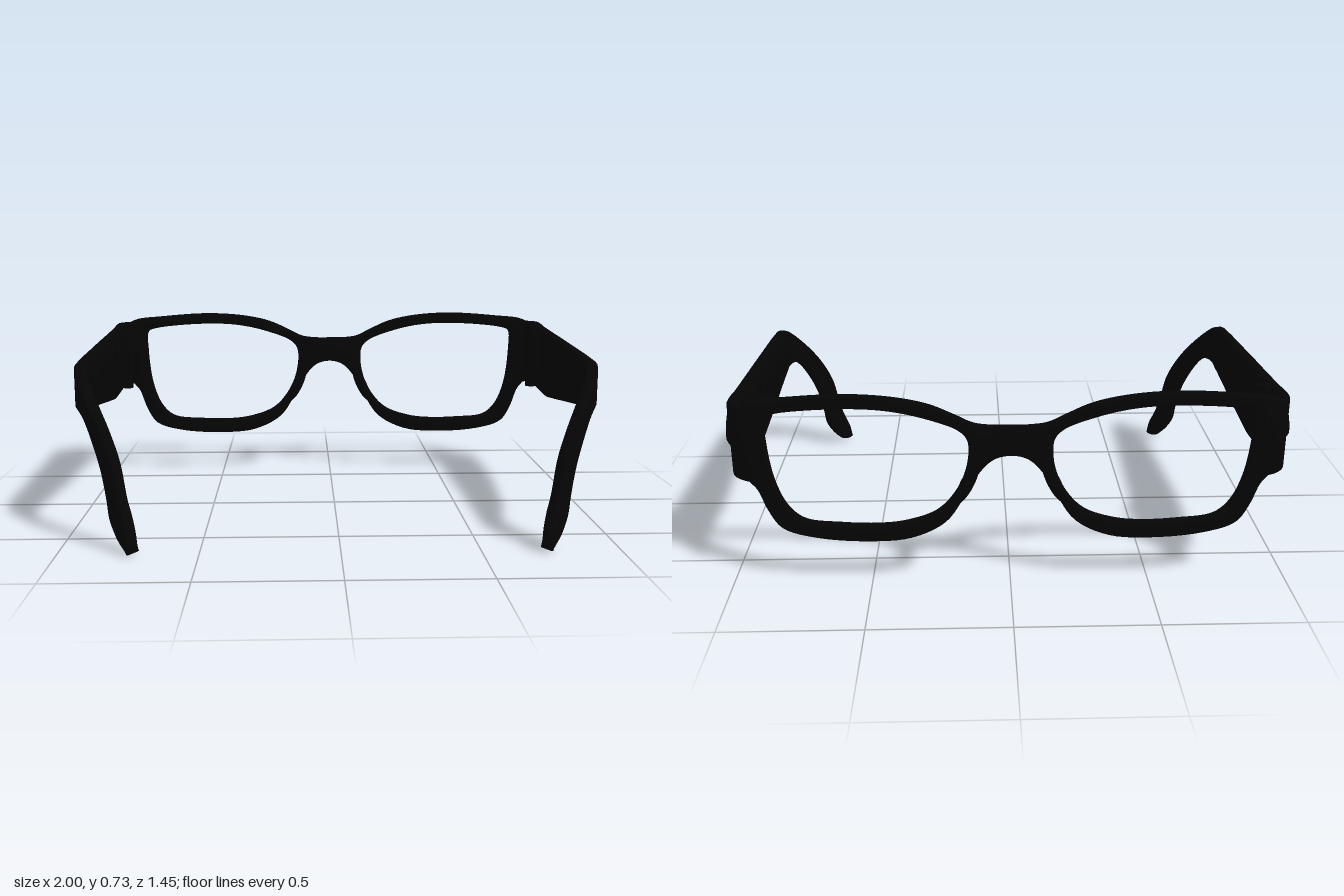
import * as THREE from 'three';
import { toCreasedNormals } from 'three/addons/utils/BufferGeometryUtils.js';
import { RoundedBoxGeometry } from 'three/addons/geometries/RoundedBoxGeometry.js';

const material = new THREE.MeshStandardMaterial({ color: 0x050505 });

function addMesh(parent, name, geometry) {
  const mesh = new THREE.Mesh(geometry, material);
  mesh.name = name;
  parent.add(mesh);
}

// Mirrored copy across x = 0 with the winding restored
function mirrored(geometry) {
  const g = geometry.index ? geometry.toNonIndexed() : geometry.clone();
  g.scale(-1, 1, 1);
  for (const key of ['position', 'normal']) {
    const a = g.attributes[key];
    for (let i = 0; i < a.count; i += 3) {
      const v = [a.getX(i + 1), a.getY(i + 1), a.getZ(i + 1)];
      a.setXYZ(i + 1, a.getX(i + 2), a.getY(i + 2), a.getZ(i + 2));
      a.setXYZ(i + 2, ...v);
    }
  }
  return g;
}

function smoothLoop(points, n) {
  const curve = new THREE.CatmullRomCurve3(points.map(([x, y]) => new THREE.Vector3(x, y, 0)), true);
  return curve.getPoints(n).slice(0, -1).map(p => new THREE.Vector2(p.x, p.y));
}

// Rounded-rectangle loft between a top edge curve and a bottom edge curve
function loftStrip(top, bottom, thickness, steps) {
  const tc = new THREE.CatmullRomCurve3(top), bc = new THREE.CatmullRomCurve3(bottom);
  const mid = t => tc.getPoint(t).add(bc.getPoint(t)).multiplyScalar(0.5);
  const pos = [], index = [], ring = 20;
  for (let i = 0; i <= steps; i++) {
    const t = i / steps, c = mid(t);
    const up = tc.getPoint(t).sub(bc.getPoint(t));
    const h = up.length() / 2, w = thickness / 2, r = Math.min(0.014, h * 0.9);
    up.normalize();
    const dir = mid(Math.min(1, t + 0.004)).sub(mid(Math.max(0, t - 0.004)));
    const side = new THREE.Vector3().crossVectors(up, dir).normalize();
    for (let q = 0; q < 4; q++) {
      const sx = q === 0 || q === 3 ? 1 : -1, sy = q < 2 ? 1 : -1;
      for (let k = 0; k < 5; k++) {
        const a = (q + k / 4) * Math.PI / 2;
        const p = c.clone()
          .addScaledVector(side, sx * (w - r) + r * Math.cos(a))
          .addScaledVector(up, sy * (h - r) + r * Math.sin(a));
        pos.push(p.x, p.y, p.z);
      }
    }
  }
  for (let i = 0; i < steps; i++) for (let j = 0; j < ring; j++) {
    const a = i * ring + j, b = i * ring + (j + 1) % ring;
    index.push(a, b, a + ring, b, b + ring, a + ring);
  }
  // End caps
  const last = steps * ring, n = pos.length / 3;
  const c0 = mid(0), c1 = mid(1);
  pos.push(c0.x, c0.y, c0.z, c1.x, c1.y, c1.z);
  for (let j = 0; j < ring; j++) {
    const k = (j + 1) % ring;
    index.push(n, k, j, n + 1, last + j, last + k);
  }
  const g = new THREE.BufferGeometry();
  g.setAttribute('position', new THREE.Float32BufferAttribute(pos, 3));
  g.setIndex(index);
  return toCreasedNormals(g, 0.7);
}

// Front frame: outline with two lens openings, bowed and tilted
function frontFrame() {
  const half = [
    [0.07, 0.612], [0.13, 0.621], [0.19, 0.65], [0.28, 0.69], [0.4, 0.716], [0.57, 0.727], [0.78, 0.714],
    [0.9, 0.7], [0.93, 0.68], [0.93, 0.55], [0.92, 0.42], [0.885, 0.37], [0.855, 0.29], [0.81, 0.22],
    [0.7, 0.183], [0.5, 0.168], [0.35, 0.183], [0.23, 0.245], [0.165, 0.34], [0.115, 0.43], [0.06, 0.488],
  ];
  // Counterclockwise, so that both openings get the right winding
  const outline = [[0, 0.611], ...half.map(([x, y]) => [-x, y]), [0, 0.503], ...half.slice().reverse()];
  const lens = [
    [0.845, 0.56], [0.842, 0.645], [0.81, 0.66], [0.58, 0.68], [0.42, 0.672], [0.285, 0.641], [0.18, 0.598],
    [0.15, 0.56], [0.153, 0.46], [0.19, 0.365], [0.26, 0.285], [0.37, 0.243], [0.47, 0.231], [0.6, 0.234],
    [0.73, 0.25], [0.785, 0.3], [0.825, 0.4],
  ];
  const shape = new THREE.Shape(smoothLoop(outline, 220));
  for (const s of [1, -1]) {
    shape.holes.push(new THREE.Path(smoothLoop(lens.map(([x, y]) => [s * x, y]), 110)));
  }
  const g = new THREE.ExtrudeGeometry(shape, {
    depth: 0.022, bevelThickness: 0.008, bevelSize: 0.008, bevelOffset: -0.008, bevelSegments: 3,
  });
  const p = g.attributes.position;
  for (let i = 0; i < p.count; i++) {
    const x = p.getX(i), y = p.getY(i);
    p.setZ(i, p.getZ(i) - 0.719 + 0.035 * x * x + (0.7 - y) * 0.045);
  }
  return toCreasedNormals(g, 0.7);
}

// Temple arm: wraps round the frame corner, runs back, then hooks down and inward
function templeArm() {
  const top = [[0.87, 0.692, -0.68], [0.92, 0.69, -0.672], [0.948, 0.69, -0.645], [0.953, 0.69, -0.6]];
  const bottom = [[0.89, 0.4, -0.668], [0.922, 0.405, -0.662], [0.948, 0.408, -0.64], [0.953, 0.408, -0.6]];
  // Each row: top z, top y, bottom z, bottom y
  const stations = [
    [-0.5, 0.682, -0.5, 0.407], [-0.33, 0.673, -0.33, 0.397], [-0.27, 0.67, -0.27, 0.394],
    [-0.2, 0.667, -0.2, 0.4], [0.05, 0.654, 0.05, 0.426],
    [0.32, 0.638, 0.32, 0.455], [0.4, 0.63, 0.4, 0.467], [0.47, 0.59, 0.46, 0.467],
    [0.55, 0.51, 0.51, 0.443], [0.605, 0.424, 0.555, 0.377], [0.645, 0.32, 0.594, 0.28],
    [0.668, 0.184, 0.614, 0.184], [0.682, 0.126, 0.625, 0.106], [0.713, 0.068, 0.652, 0.048],
    [0.724, 0.03, 0.684, 0.008], [0.718, 0.012, 0.702, 0.004],
  ];
  const place = (z, y) => {
    const s = Math.max(0, z - 0.35);
    return [0.953 - Math.min(0.222, 1.9 * s * s), y, z];
  };
  for (const [tz, ty, bz, by] of stations) {
    top.push(place(tz, ty));
    bottom.push(place(bz, by));
  }
  const vec = a => new THREE.Vector3(...a);
  return loftStrip(top.map(vec), bottom.map(vec), 0.046, 150);
}

// Raised pad on the outside of each arm
function sidePad() {
  const outline = [
    [-0.385, 0.54], [-0.391, 0.56], [-0.43, 0.603], [-0.445, 0.61], [-0.55, 0.61], [-0.563, 0.602],
    [-0.593, 0.56], [-0.596, 0.54], [-0.593, 0.522], [-0.56, 0.492], [-0.545, 0.486], [-0.435, 0.486],
    [-0.42, 0.492], [-0.389, 0.521],
  ];
  const g = new THREE.ExtrudeGeometry(new THREE.Shape(outline.map(a => new THREE.Vector2(...a))), {
    depth: 0.03, bevelThickness: 0.008, bevelSize: 0.008, bevelOffset: -0.008, bevelSegments: 3,
  });
  g.rotateY(-Math.PI / 2).translate(0.99, 0, 0);
  return toCreasedNormals(g, 0.7);
}

export function createModel() {
  const model = new THREE.Group();
  model.name = 'glasses';
  addMesh(model, 'frontFrame', frontFrame());

  const parts = {
    Temple: templeArm(),
    SidePad: sidePad(),
    HingePlate: new RoundedBoxGeometry(0.03, 0.22, 0.18, 2, 0.008).translate(0.924, 0.545, -0.5),
    HingeBarrel: new THREE.CylinderGeometry(0.023, 0.023, 0.28, 20).translate(0.92, 0.545, -0.52),
    NosePad: new THREE.SphereGeometry(1, 24, 16).scale(0.024, 0.085, 0.026)
      .rotateZ(0.45).translate(0.152, 0.39, -0.687),
  };
  for (const [name, geometry] of Object.entries(parts)) {
    addMesh(model, 'left' + name, geometry);
    addMesh(model, 'right' + name, mirrored(geometry));
  }
  return model;
}
